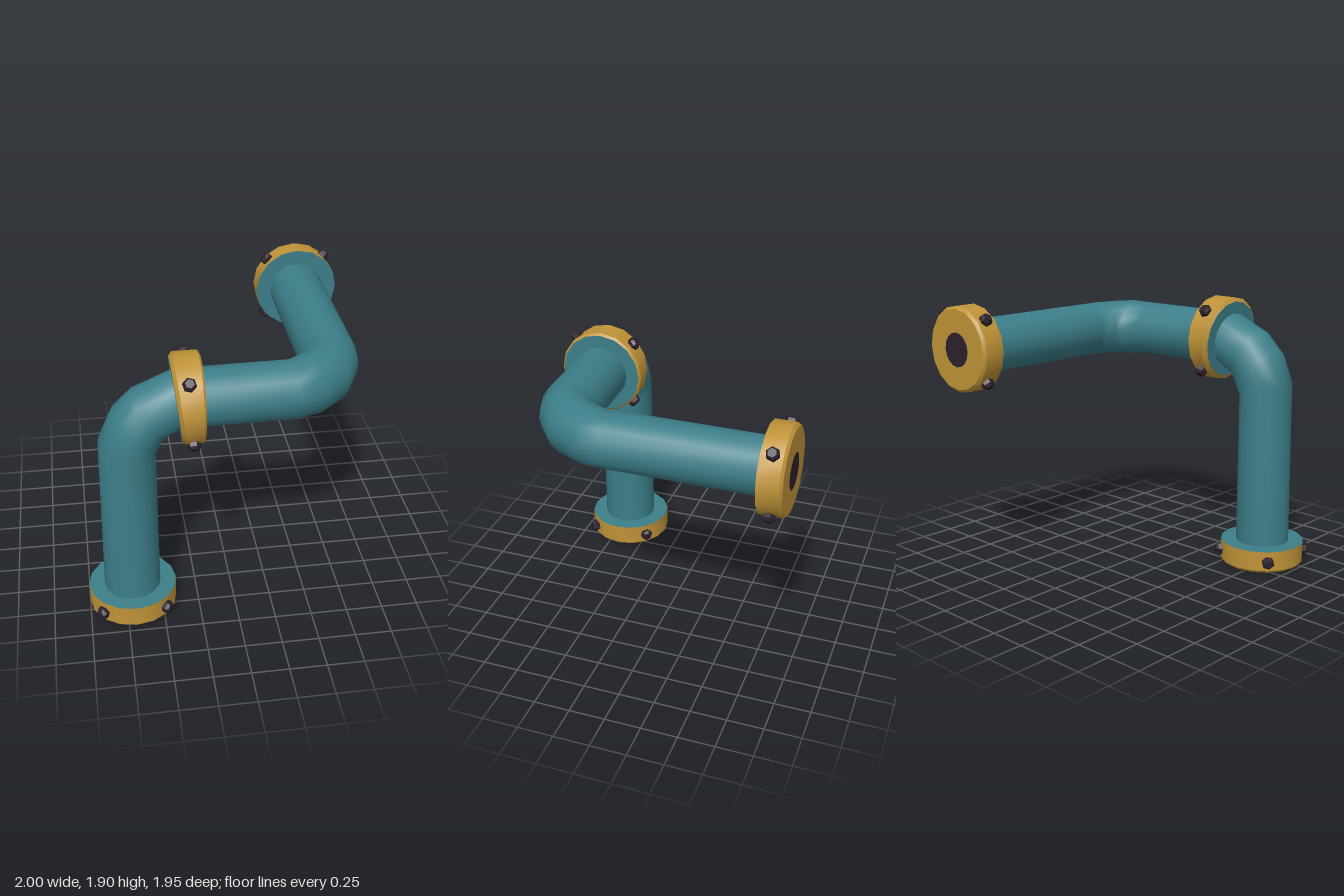
import * as THREE from 'three';

const SIDES = 16;
const material = (name, color) => {
  const m = new THREE.MeshStandardMaterial({ color });
  m.name = name;
  return m;
};
const V = (x, y, z) => new THREE.Vector3(x, y, z);

// A ring lies across the pipe: inner and outer points of the bend, and its sideways axis
function ring(inner, outer, side) {
  const u = outer.clone().sub(inner).multiplyScalar(0.5);
  return {
    c: inner.clone().add(outer).multiplyScalar(0.5),
    u,
    v: side.clone().multiplyScalar(u.length()),
  };
}

// Smooth skin through a list of rings
function loft(rings) {
  const pos = [], index = [];
  rings.forEach(({ c, u, v }, i) => {
    for (let j = 0; j < SIDES; j++) {
      const a = (j / SIDES) * Math.PI * 2;
      const p = c.clone().addScaledVector(u, Math.cos(a)).addScaledVector(v, Math.sin(a));
      pos.push(p.x, p.y, p.z);
      if (i === rings.length - 1) continue;
      const k = (j + 1) % SIDES, r = i * SIDES, n = r + SIDES;
      index.push(r + j, r + k, n + j, r + k, n + k, n + j);
    }
  });
  const g = new THREE.BufferGeometry();
  g.setAttribute('position', new THREE.Float32BufferAttribute(pos, 3));
  g.setIndex(index);
  g.computeVertexNormals();
  return g;
}

function add(parent, name, geometry, mat) {
  const mesh = new THREE.Mesh(geometry, mat);
  mesh.name = name;
  parent.add(mesh);
  return mesh;
}

export function createModel() {
  const teal = material('teal paint', 0x3c7e89);
  const gold = material('brass', 0xbf9338);
  const dark = material('dark iron', 0x2c202b);
  const model = new THREE.Group();
  model.name = 'pipe';

  // Six-sided bolt head with a chamfered end, pointing along +y
  const boltGeometry = new THREE.LatheGeometry(
    [[0.045, -0.04], [0.045, 0.02], [0.03, 0.04], [0, 0.04]].map(([r, y]) => new THREE.Vector2(r, y)), 6
  ).toNonIndexed();
  boltGeometry.computeVertexNormals();

  // Four bolts around the rim of a flange whose axis is +y
  function addBolts(parent, heightAt) {
    for (let i = 0; i < 4; i++) {
      const a = Math.PI / 4 + (i * Math.PI) / 2;
      const dir = V(Math.cos(a), 0, Math.sin(a));
      const bolt = add(parent, 'bolt', boltGeometry, dark);
      bolt.position.copy(dir).multiplyScalar(0.3).setY(heightAt(dir));
      bolt.quaternion.setFromUnitVectors(V(0, 1, 0), dir);
    }
  }

  // End flange: brass rim and outer face, painted inner face, dark opening
  function endFlange(name) {
    const g = new THREE.Group();
    g.name = name;
    const at = (r, y) => ({ c: V(0, y, 0), u: V(-r, 0, 0), v: V(0, 0, r) });
    add(g, 'outerFace', loft([at(0, 0.003), at(0.28, 0.003)]), gold);
    add(g, 'bevel', loft([at(0.28, 0.003), at(0.3, 0.022)]), gold);
    add(g, 'rim', loft([at(0.3, 0.022), at(0.3, 0.165)]), gold);
    add(g, 'innerFace', loft([at(0.3, 0.165), at(0, 0.165)]), teal);
    add(g, 'opening', loft([at(0, 0), at(0.12, 0)]), dark);
    addBolts(g, () => 0.087);
    model.add(g);
    return g;
  }
  endFlange('baseFlange').position.set(-0.7, 0, 0.67);
  const back = endFlange('backFlange');
  back.position.set(0.7, 1.605, -0.975);
  back.rotation.x = Math.PI / 2;

  // Upright pipe and first elbow: inner x, y then outer x, y
  const upright = [
    [-0.508, 0.15, -0.893, 0.15],
    [-0.508, 1.23, -0.875, 1.34],
    [-0.49, 1.27, -0.78, 1.55],
    [-0.45, 1.35, -0.65, 1.68],
    [-0.345, 1.41, -0.39, 1.793],
    [-0.28, 1.412, -0.28, 1.797],
  ];
  add(model, 'uprightPipe', loft(upright.map(([a, b, c, d]) =>
    ring(V(a, b, 0.672), V(c, d, 0.672), V(0, 0, 1)))), teal);

  // Level pipe and second elbow: inner x, z then outer x, z
  const level = [
    [-0.28, 0.477, -0.28, 0.864],
    [0.36, 0.467, 0.4, 0.85],
    [0.46, 0.395, 0.57, 0.79],
    [0.478, 0.36, 0.76, 0.64],
    [0.503, 0.285, 0.87, 0.42],
    [0.505, 0.25, 0.89, 0.27],
    [0.506, -0.83, 0.892, -0.83],
  ];
  add(model, 'levelPipe', loft(level.map(([a, b, c, d]) =>
    ring(V(a, 1.605, b), V(c, 1.605, d), V(0, -1, 0)))), teal);

  // Joint flange along x, with one slanted face
  const joint = new THREE.Group();
  joint.name = 'jointFlange';
  const cross = (r, xLow, xHigh) =>
    ({ c: V((xLow + xHigh) / 2, 1.605, 0.67), u: V((xHigh - xLow) / 2, r, 0), v: V(0, 0, r) });
  const slant = [cross(0, -0.374, -0.374), cross(0.272, -0.345, -0.403), cross(0.3, -0.318, -0.383)];
  const flat = [cross(0.3, -0.222, -0.222), cross(0.286, -0.208, -0.208), cross(0, -0.208, -0.208)];
  add(joint, 'slantedFace', loft([slant[0], slant[1]]), teal);
  add(joint, 'slantedBevel', loft([slant[1], slant[2]]), gold);
  add(joint, 'rim', loft([slant[2], flat[0]]), gold);
  add(joint, 'flatBevel', loft([flat[0], flat[1]]), gold);
  add(joint, 'flatFace', loft([flat[1], flat[2]]), teal);
  // Local +y of the bolt circle becomes +x, local +x becomes -y
  const bolts = new THREE.Group();
  bolts.name = 'jointBolts';
  addBolts(bolts, (dir) => (dir.x > 0 ? 0.012 : -0.013));
  bolts.rotation.z = -Math.PI / 2;
  bolts.position.set(-0.292, 1.605, 0.67);
  joint.add(bolts);
  model.add(joint);

  return model;
}
